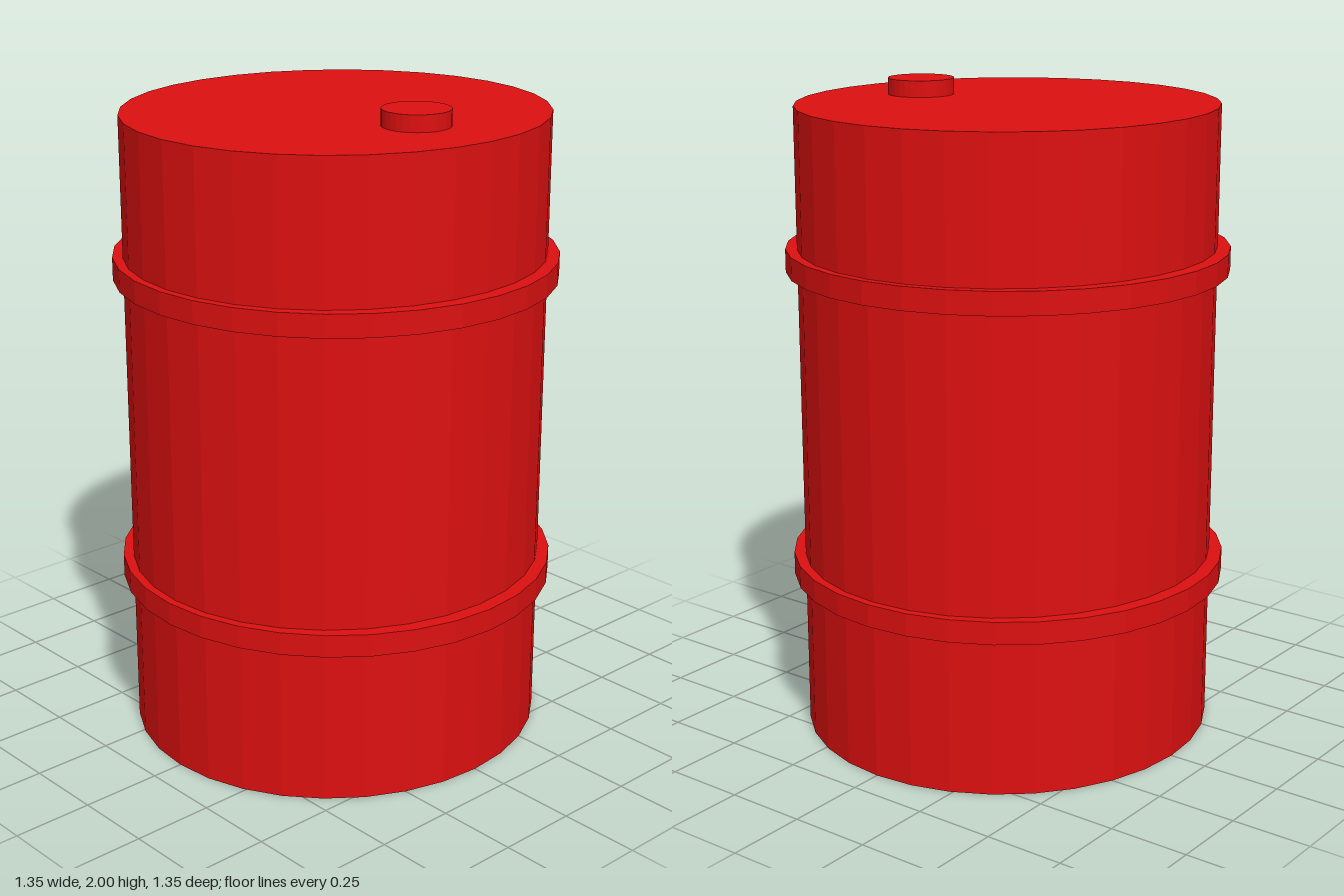
import * as THREE from 'three';

export function createModel() {
  const group = new THREE.Group();
  const red = new THREE.MeshStandardMaterial({ color: 0xdd1010 });
  red.name = 'red paint';
  red.flatShading = true;

  // Upright faceted drum section between two heights
  function drum(name, rx, rz, y0, y1, x = 0) {
    const mesh = new THREE.Mesh(new THREE.CylinderGeometry(1, 1, y1 - y0, 32), red);
    mesh.name = name;
    mesh.scale.set(rx, 1, rz);
    mesh.position.set(x, (y0 + y1) / 2, 0);
    group.add(mesh);
  }

  // Barrel, slightly narrower across than deep
  drum('barrelBody', 0.63, 0.65, 0, 1.95);

  // Reinforcing hoops
  drum('lowerHoop', 0.675, 0.675, 0.486, 0.556);
  drum('upperHoop', 0.675, 0.675, 1.451, 1.521);

  // Filler cap on the lid
  drum('fillerCap', 0.102, 0.102, 1.94, 2, 0.337);

  return group;
}
